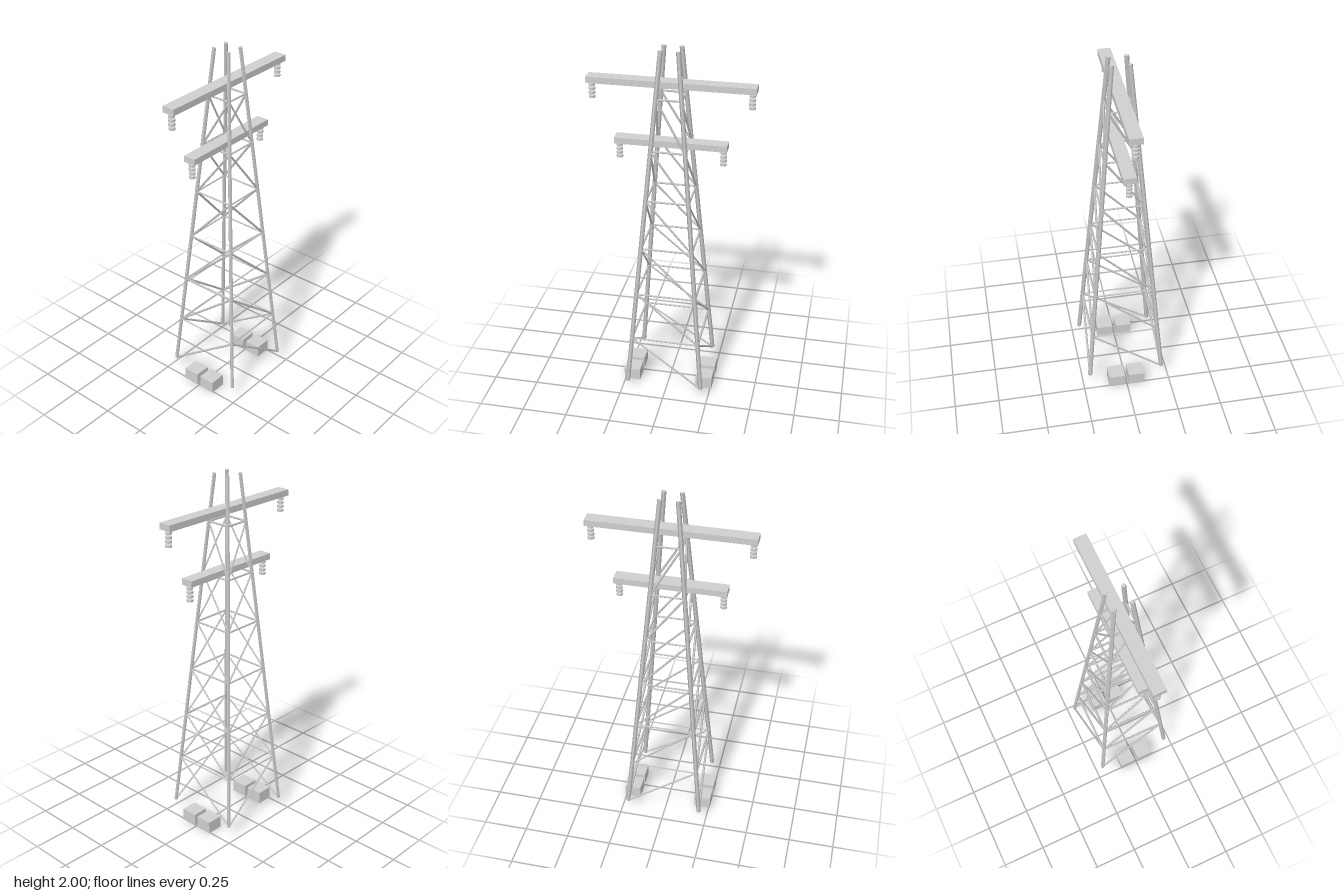
import * as THREE from 'three';

const steel = new THREE.MeshStandardMaterial({ color: 0xd0d0d0 });
steel.name = 'light galvanised steel';

const BASE_Y = 0.07, TOP_Y = 2.0, BASE_X = 0.211, TOP_X = 0.046;

// Point on the leg axis at height y; sx and sz pick the corner
function corner(sx, sz, y) {
  const h = THREE.MathUtils.mapLinear(y, BASE_Y, TOP_Y, BASE_X, TOP_X);
  return new THREE.Vector3(sx * h, y, sz * h);
}

function add(parent, name, geometry, x = 0, y = 0, z = 0) {
  const mesh = new THREE.Mesh(geometry, steel);
  mesh.name = name;
  mesh.position.set(x, y, z);
  parent.add(mesh);
  return mesh;
}

// Four-sided bar between two points
function strut(parent, name, a, b, radius) {
  const dir = b.clone().sub(a);
  const mesh = add(parent, name, new THREE.CylinderGeometry(radius, radius, dir.length(), 4));
  mesh.position.copy(a).add(b).multiplyScalar(0.5);
  mesh.quaternion.setFromUnitVectors(new THREE.Vector3(0, 1, 0), dir.normalize());
}

// Crossarm with a stack of insulator discs hanging at each end
function crossarm(parent, name, halfLength, y, insulatorX) {
  const arm = new THREE.Group();
  arm.name = name;
  parent.add(arm);
  add(arm, 'crossarmBeam', new THREE.BoxGeometry(halfLength * 2, 0.034, 0.07), 0, y, 0);
  for (const s of [-1, 1]) {
    for (let i = 0; i < 4; i++) {
      add(arm, 'insulatorDisc', new THREE.CylinderGeometry(0.0175, 0.0175, 0.012, 10),
        s * insulatorX, y - 0.033 - i * 0.0222, 0);
    }
  }
}

export function createModel() {
  const tower = new THREE.Group();
  tower.name = 'transmissionTower';

  // Tapering legs and footing blocks
  for (const sx of [-1, 1]) {
    for (const sz of [-1, 1]) {
      strut(tower, 'leg', corner(sx, sz, BASE_Y), corner(sx, sz, TOP_Y), 0.0125);
      add(tower, 'footing', new THREE.BoxGeometry(0.092, 0.07, 0.092), sx * 0.211, 0.035, sz * 0.057);
    }
  }

  // Lattice: one horizontal and one diagonal per bay on each face
  const bay = 0.2795;
  for (let i = 0; i < 6; i++) {
    const low = BASE_Y + i * bay, high = low + bay;
    for (const s of [-1, 1]) {
      strut(tower, 'horizontalBrace', corner(-1, s, high), corner(1, s, high), 0.006);
      strut(tower, 'diagonalBrace', corner(1, s, low), corner(-1, s, high), 0.006);
      strut(tower, 'sideHorizontalBrace', corner(s, -1, high), corner(s, 1, high), 0.006);
      strut(tower, 'sideDiagonalBrace', corner(s, -1, low), corner(s, 1, high), 0.006);
    }
  }

  crossarm(tower, 'upperCrossarm', 0.442, 1.814, 0.418);
  crossarm(tower, 'lowerCrossarm', 0.3, 1.488, 0.278);
  return tower;
}
